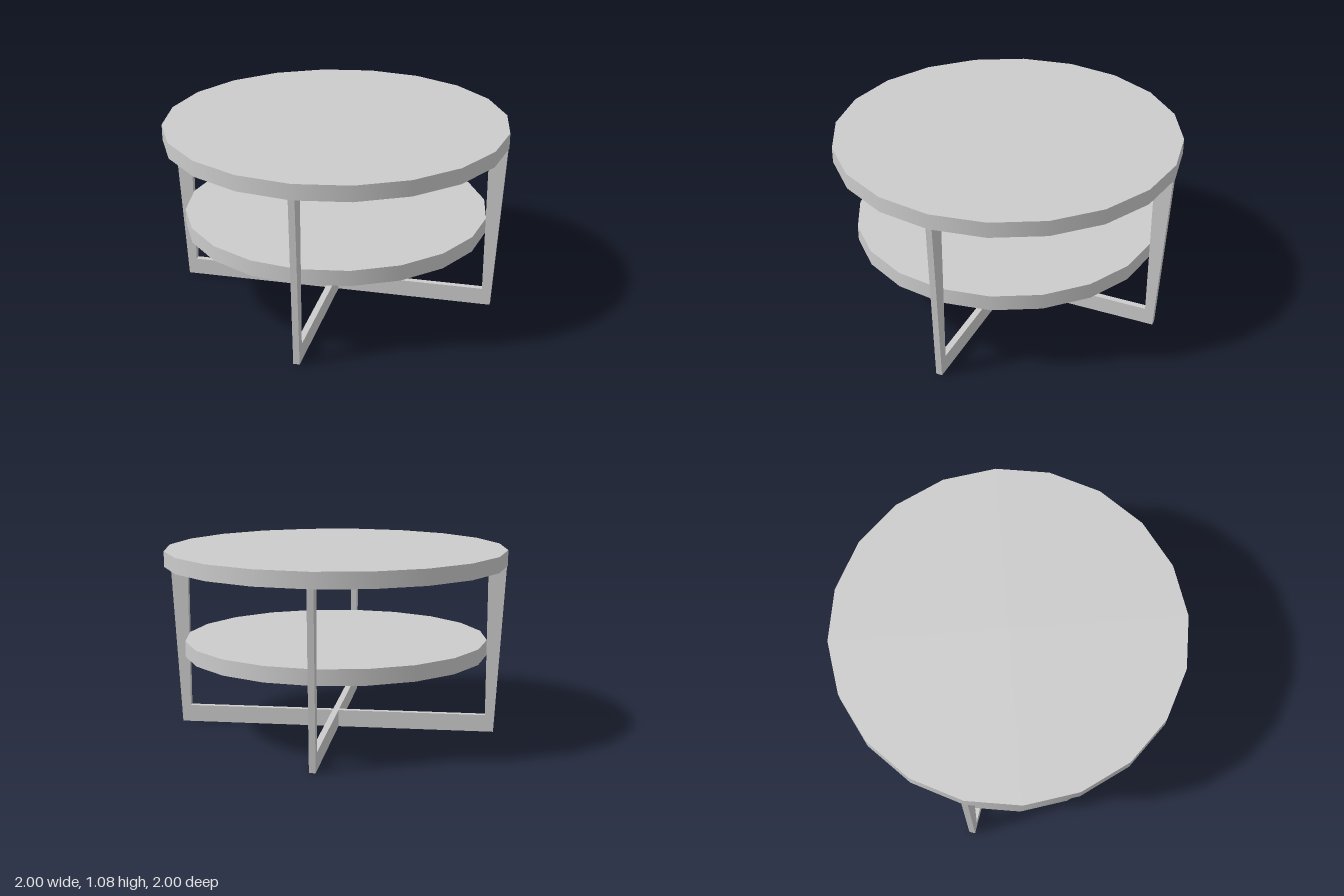
import * as THREE from 'three';

const material = new THREE.MeshStandardMaterial({ color: 0xcccccc });
const SIDES = 20;

// Round slab, smooth around its rim
function disc(name, radius, bottom, top) {
  const geometry = new THREE.CylinderGeometry(radius, radius, top - bottom, SIDES);
  const mesh = new THREE.Mesh(geometry, material);
  mesh.name = name;
  mesh.position.y = (bottom + top) / 2;
  return mesh;
}

// U-shaped frame: two legs flaring outwards, joined by a floor bar
function legFrame(name, angle) {
  const inner = 0.89, foot = 0.94, flare = 0.995;
  const top = 0.99, bar = 0.1, thickness = 0.036;
  const right = [[foot, 0], [flare, top], [inner, top], [inner, bar]];
  const left = right.map(([x, y]) => [-x, y]).reverse();
  const shape = new THREE.Shape([...right, ...left].map(([x, y]) => new THREE.Vector2(x, y)));
  const geometry = new THREE.ExtrudeGeometry(shape, { depth: thickness, bevelEnabled: false });
  geometry.translate(0, 0, -thickness / 2);
  const mesh = new THREE.Mesh(geometry, material);
  mesh.name = name;
  mesh.rotation.y = angle;
  return mesh;
}

export function createModel() {
  const table = new THREE.Group();
  table.name = 'roundTable';
  table.add(
    disc('tableTop', 1, 0.99, 1.08),
    disc('shelf', 0.89, 0.46, 0.55),
    // Two frames crossing at the centre
    legFrame('sideLegFrame', 0),
    legFrame('frontBackLegFrame', Math.PI / 2),
  );
  return table;
}
